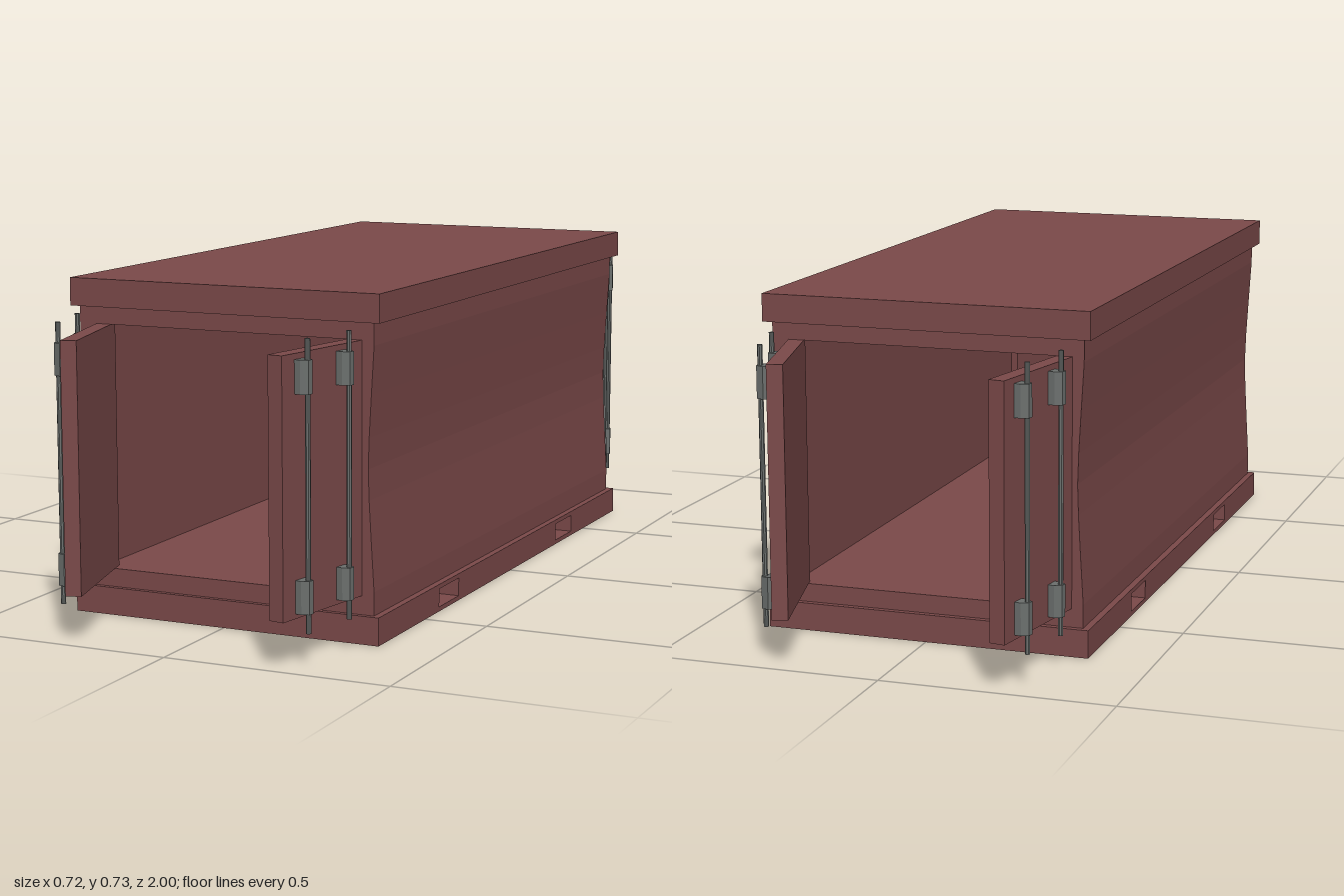
import * as THREE from 'three';

const paint = new THREE.MeshStandardMaterial({ color: 0x7c4a4a, flatShading: true });
const steel = new THREE.MeshStandardMaterial({ color: 0x6c706e, flatShading: true });

function add(parent, name, geometry, material, x = 0, y = 0, z = 0) {
  const mesh = new THREE.Mesh(geometry, material);
  mesh.name = name;
  mesh.position.set(x, y, z);
  parent.add(mesh);
  return mesh;
}

const rect = (Type, x0, y0, x1, y1) => {
  const r = new Type();
  r.moveTo(x0, y0).lineTo(x1, y0).lineTo(x1, y1).lineTo(x0, y1).closePath();
  return r;
};

const extrude = (shape, depth) =>
  new THREE.ExtrudeGeometry(shape, { depth, bevelEnabled: false });

const DOOR_LENGTH = 0.29, DOOR_THICKNESS = 0.034;

// Bracket outline: flat against the door, chamfered outside
const bracketShape = new THREE.Shape([
  [-0.002, -0.015], [0.014, -0.015], [0.028, -0.007],
  [0.028, 0.007], [0.014, 0.015], [-0.002, 0.015],
].map(([x, y]) => new THREE.Vector2(x, y)));

// Door leaf: hinge at the origin, outer face at x = 0, free edge along +z
function createDoor(side, name) {
  const door = new THREE.Group();
  door.name = name;
  add(door, 'doorPanel', new THREE.BoxGeometry(DOOR_THICKNESS, 0.53, DOOR_LENGTH), paint,
    -side * DOOR_THICKNESS / 2, 0.365, DOOR_LENGTH / 2);
  for (const z of [0.094, 0.234]) {
    add(door, 'lockingRod', new THREE.CylinderGeometry(0.0055, 0.0055, 0.59, 8), steel,
      side * 0.021, 0.365, z);
    for (const y of [0.11, 0.55]) {
      const bracket = add(door, 'rodBracket', extrude(bracketShape, 0.068), steel,
        0, side > 0 ? y : y + 0.068, z);
      bracket.rotation.set(-Math.PI / 2, side > 0 ? 0 : Math.PI, 0);
    }
  }
  return door;
}

export function createModel() {
  const model = new THREE.Group();
  model.name = 'container';

  // Base with two fork pockets running right through
  const baseShape = rect(THREE.Shape, -0.732, 0, 0.744, 0.06);
  baseShape.holes.push(
    rect(THREE.Path, 0.315, 0.01, 0.425, 0.05),
    rect(THREE.Path, -0.412, 0.01, -0.302, 0.05));
  add(model, 'base', extrude(baseShape, 0.718), paint, 0.359).rotation.y = -Math.PI / 2;

  // Roof slab
  add(model, 'roof', new THREE.BoxGeometry(0.722, 0.06, 1.476), paint, 0, 0.697, 0.006);

  // Hollow body with side walls bowed inwards
  const wall = [[0.344, 0.06], [0.344, 0.11], [0.338, 0.21], [0.333, 0.3], [0.331, 0.365],
    [0.333, 0.43], [0.338, 0.52], [0.344, 0.62], [0.344, 0.667]];
  const outline = [...wall, ...wall.map(([x, y]) => [-x, y]).reverse()];
  const bodyShape = new THREE.Shape(outline.map(([x, y]) => new THREE.Vector2(x, y)));
  bodyShape.holes.push(rect(THREE.Path, -0.305, 0.1, 0.305, 0.63));
  add(model, 'body', extrude(bodyShape, 1.452), paint, 0, 0, -0.719);

  // A pair of half-open doors at each end, one swung further than the other
  for (const end of ['front', 'back']) {
    const pair = new THREE.Group();
    pair.name = end + 'Doors';
    const wide = createDoor(1, 'wideOpenDoor');
    wide.position.set(0.32, 0, 0.714);
    wide.rotation.y = -THREE.MathUtils.degToRad(10);
    const narrow = createDoor(-1, 'narrowOpenDoor');
    narrow.position.set(-0.31, 0, 0.71);
    narrow.rotation.y = THREE.MathUtils.degToRad(15);
    pair.add(wide, narrow);
    if (end === 'back') pair.rotation.y = Math.PI;
    model.add(pair);
  }
  return model;
}
